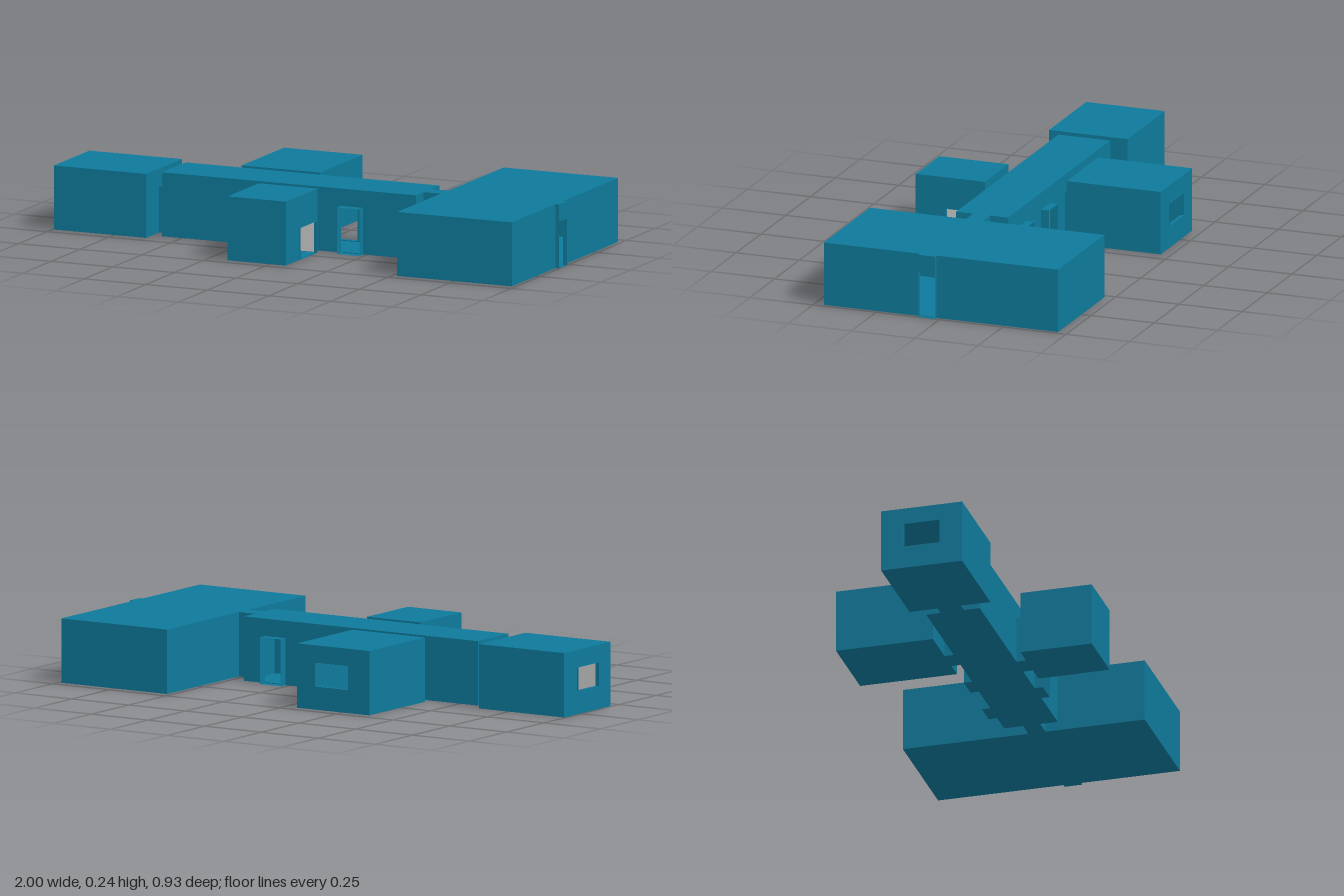
import * as THREE from 'three';

const H = 0.24, DOOR = 0.175;
const teal = new THREE.MeshStandardMaterial({ color: 0x0e7a9b, side: THREE.DoubleSide });
const grey = new THREE.MeshStandardMaterial({ color: 0xcccccc, side: THREE.DoubleSide });

// Flat panel; each hole is [u0, u1, v0, v1]
function panel(name, axis, pos, [u0, u1, v0, v1], holes = [], material = teal) {
  const rect = (C, a, b, c, d) => new C().moveTo(a, c).lineTo(b, c).lineTo(b, d).lineTo(a, d).closePath();
  const shape = rect(THREE.Shape, u0, u1, v0, v1);
  for (const h of holes) shape.holes.push(rect(THREE.Path, ...h));
  const mesh = new THREE.Mesh(new THREE.ShapeGeometry(shape), material);
  mesh.name = name;
  mesh.position[axis] = pos;
  if (axis === 'x') mesh.rotation.y = -Math.PI / 2; // u runs along z
  if (axis === 'y') mesh.rotation.x = Math.PI / 2;  // v runs along z
  return mesh;
}

// Hollow room; openings and linings are keyed by wall side
function room(name, x0, x1, z0, z1, openings = {}, linings = []) {
  const g = new THREE.Group();
  g.name = name;
  const walls = {
    left: ['x', x1, z0, z1, -1], right: ['x', x0, z0, z1, 1],
    front: ['z', z1, x0, x1, -1], back: ['z', z0, x0, x1, 1],
  };
  for (const [side, [axis, pos, a, b, inward]] of Object.entries(walls)) {
    const holes = openings[side] || [];
    g.add(panel(side + 'Wall', axis, pos, [a, b, 0, H], holes));
    if (linings.includes(side))
      g.add(panel(side + 'Lining', axis, pos + inward * 0.003, [a + 0.003, b - 0.003, 0.002, H - 0.003], holes, grey));
  }
  g.add(panel('floor', 'y', 0, [x0, x1, z0, z1]), panel('roof', 'y', H, [x0, x1, z0, z1]));
  return g;
}

// Short open passage through a wall, running along x or z
function passage(name, axis, from, to, a, b, y0, y1) {
  const g = new THREE.Group();
  g.name = name;
  const side = axis === 'x' ? 'z' : 'x';
  const flat = axis === 'x' ? [from, to, a, b] : [a, b, from, to];
  for (const p of [a, b]) g.add(panel('jamb', side, p, [from, to, y0, y1]));
  for (const y of [y0, y1]) g.add(panel(y === y0 ? 'sill' : 'head', 'y', y, flat));
  return g;
}

export function createModel() {
  const model = new THREE.Group();
  model.name = 'roomLayout';
  const door = (a, b) => [a, b, 0.003, DOOR];

  // Rooms
  model.add(
    room('corridor', -0.58, 0.45, -0.055, 0.15, {
      right: [door(0, 0.09)], left: [door(0.017, 0.083)],
      front: [door(-0.095, -0.005), door(0.145, 0.235)],
      back: [door(-0.215, -0.125), door(0.027, 0.117), door(0.267, 0.357)],
    }),
    room('largeHall', 0.52, 0.985, -0.463, 0.463, {
      right: [door(0.017, 0.083)], left: [door(0.017, 0.083)],
    }),
    room('endRoom', -0.995, -0.62, -0.107, 0.203, {
      left: [door(0, 0.09)], right: [[-0.02, 0.117, 0.087, DOOR]],
    }, ['front', 'left']),
    room('backRoom', -0.37, -0.052, -0.461, -0.09, {
      front: [door(-0.215, -0.125)], back: [[-0.275, -0.135, 0.087, DOOR]],
    }, ['front']),
    room('frontRoom', -0.17, 0.067, 0.187, 0.46, {
      back: [door(-0.095, -0.005)], left: [[0.2, 0.34, 0.003, 0.12]],
    }, ['front', 'back', 'right']),
  );

  // Doorways leading out of the corridor
  model.add(
    passage('endDoorway', 'x', -0.62, -0.58, 0, 0.09, 0, DOOR),
    passage('backRoomDoorway', 'z', -0.09, -0.055, -0.215, -0.125, 0, DOOR),
    passage('backDoorway', 'z', -0.087, -0.055, 0.027, 0.117, 0, DOOR),
    passage('backDoorway', 'z', -0.087, -0.055, 0.267, 0.357, 0, DOOR),
    passage('frontRoomDoorway', 'z', 0.15, 0.187, -0.095, -0.005, 0, DOOR),
    passage('frontDoorway', 'z', 0.15, 0.182, 0.145, 0.235, 0, DOOR),
  );

  // Full-height hall doorways with a header above each opening
  for (const [name, from, to] of [['hallDoorway', 0.45, 0.52], ['outerHallDoorway', 0.985, 1]]) {
    const g = passage(name, 'x', from, to, 0.017, 0.083, 0, H);
    g.add(panel('ceiling', 'y', DOOR, [from, to, 0.017, 0.083]));
    g.add(panel('header', 'x', to, [0.017, 0.083, DOOR, H]));
    model.add(g);
  }

  // Window surrounds, standing slightly proud of the walls
  model.add(
    passage('endWindow', 'x', -1, -0.985, -0.02, 0.117, 0.087, DOOR),
    passage('backWindow', 'z', -0.466, -0.452, -0.275, -0.135, 0.087, DOOR),
    passage('frontRoomOpening', 'x', 0.06, 0.071, 0.2, 0.34, 0.001, 0.12),
  );
  return model;
}
